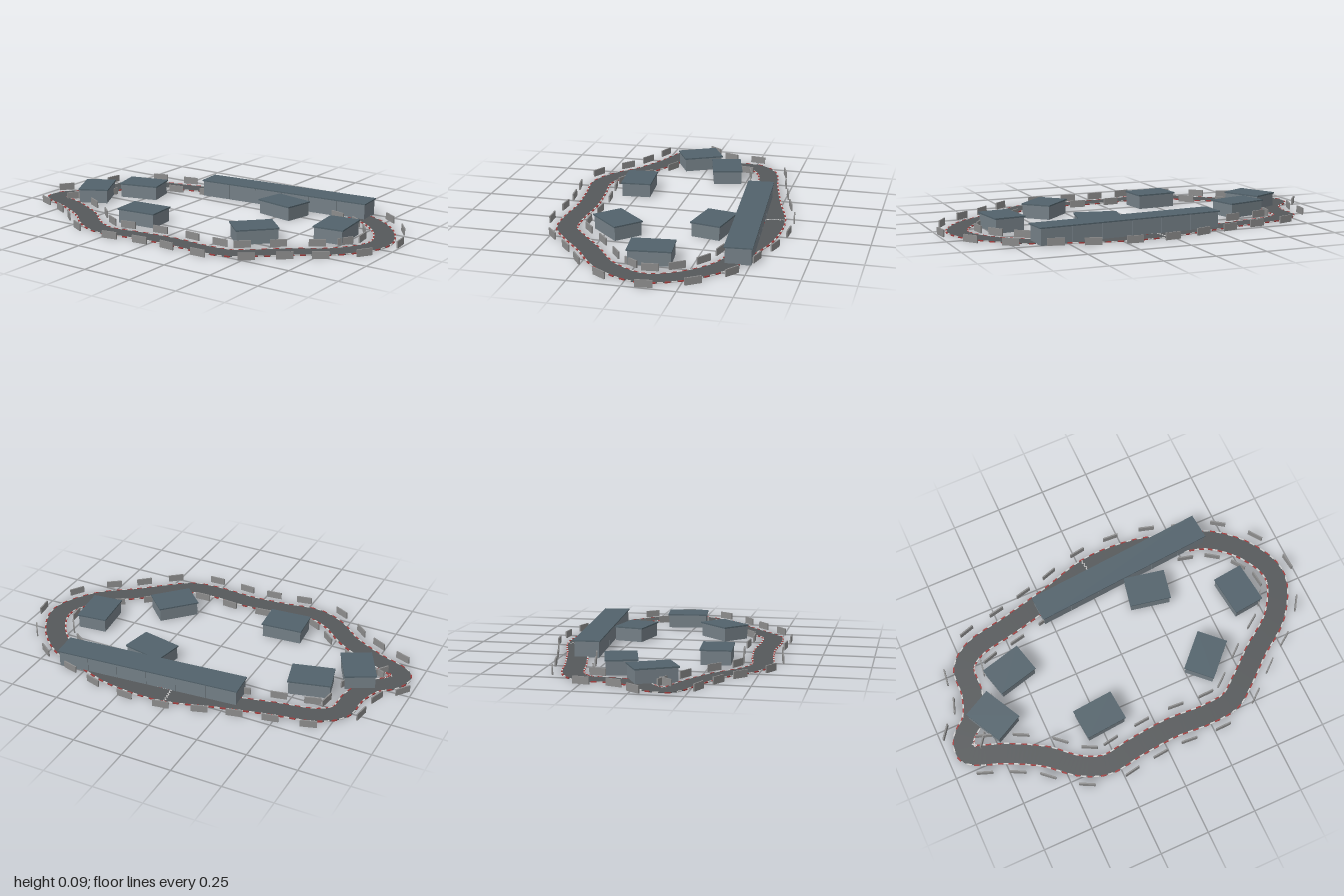
import * as THREE from 'three';

const mat = (color) => new THREE.MeshStandardMaterial({ color, flatShading: true });
const asphalt = mat(0x55585a), red = mat(0xa03a3a), white = mat(0xcccccc);
const wallMat = mat(0x747f86), roofMat = mat(0x52626b), barrierMat = mat(0x8c8c8c);

// Centre line of the circuit as x, z pairs, starting at the start line
const line = [
  [0.035, -0.505], [-0.2, -0.44], [-0.45, -0.38], [-0.67, -0.33], [-0.75, -0.26], [-0.765, -0.12],
  [-0.81, 0], [-0.89, 0.08], [-0.9, 0.155], [-0.72, 0.24], [-0.56, 0.33], [-0.43, 0.44],
  [-0.31, 0.49], [-0.13, 0.47], [0.06, 0.455], [0.25, 0.465], [0.39, 0.45], [0.49, 0.38],
  [0.62, 0.27], [0.8, 0.13], [0.895, -0.06], [0.835, -0.23], [0.68, -0.38], [0.5, -0.44],
  [0.35, -0.49], [0.2, -0.51],
];
const curve = new THREE.CatmullRomCurve3(line.map(([x, z]) => new THREE.Vector3(x, 0, z)), true);
curve.arcLengthDivisions = 600;

// Point beside the centre line (side > 0 is outside) and the heading there
function beside(u, offset) {
  const p = curve.getPointAt(u % 1), t = curve.getTangentAt(u % 1);
  return { x: p.x + t.z * offset, z: p.z - t.x * offset, turn: Math.atan2(-t.z, t.x) };
}

function box(parent, name, material, w, h, d, x, y, z, turn = 0) {
  const mesh = new THREE.Mesh(new THREE.BoxGeometry(w, h, d), material);
  mesh.name = name;
  mesh.position.set(x, y + h / 2, z);
  mesh.rotation.y = turn;
  parent.add(mesh);
  return mesh;
}

function group(parent, name) {
  const g = new THREE.Group();
  g.name = name;
  parent.add(g);
  return g;
}

// Thin closed slab swept along the centre line
function trackGeometry(half, height, steps) {
  const pos = [], index = [];
  const section = [[half, 0], [half, height], [-half, height], [-half, 0]];
  for (let i = 0; i < steps; i++) {
    for (const [offset, y] of section) {
      const p = beside(i / steps, offset);
      pos.push(p.x, y, p.z);
    }
    for (let k = 0; k < 4; k++) {
      const a = i * 4 + k, b = i * 4 + (k + 1) % 4;
      const n = ((i + 1) % steps) * 4;
      const c = n + k, d = n + (k + 1) % 4;
      index.push(a, b, c, b, d, c);
    }
  }
  const g = new THREE.BufferGeometry();
  g.setAttribute('position', new THREE.Float32BufferAttribute(pos, 3));
  g.setIndex(index);
  const flat = g.toNonIndexed();
  flat.computeVertexNormals();
  return flat;
}

// Small hall with an overhanging flat roof
function building(parent, x, z, turn) {
  const g = group(parent, 'building');
  box(g, 'buildingWalls', wallMat, 0.2, 0.067, 0.145, 0, 0, 0);
  box(g, 'buildingRoof', roofMat, 0.21, 0.007, 0.155, 0, 0.067, 0);
  g.position.set(x, 0, z);
  g.rotation.y = turn;
}

export function createModel() {
  const model = new THREE.Group();
  model.name = 'raceCircuit';

  const track = new THREE.Mesh(trackGeometry(0.051, 0.004, 220), asphalt);
  track.material.side = THREE.DoubleSide;
  track.name = 'track';
  model.add(track);

  // Kerbs alternate red and white on both edges
  const kerbs = group(model, 'kerbs');
  const kerbCount = 160;
  for (let i = 0; i < kerbCount; i++) {
    for (const side of [-1, 1]) {
      const p = beside(i / kerbCount, side * 0.051);
      box(kerbs, 'kerb', i % 2 ? white : red, 0.026, 0.005, 0.007, p.x, 0, p.z, p.turn);
    }
  }

  // Start line of small chequers
  const start = group(model, 'startLine');
  for (let i = 0; i < 10; i++) {
    const p = beside(0.0012 * (i % 2), -0.045 + i * 0.01);
    box(start, 'startLineTile', white, 0.006, 0.002, 0.009, p.x, 0.0035, p.z, p.turn);
  }

  // Barrier panels spaced along both sides
  const barriers = group(model, 'barriers');
  const barrierCount = 26;
  for (let i = 0; i < barrierCount; i++) {
    for (const side of [-1, 1]) {
      const p = beside(i / barrierCount, side * 0.094);
      box(barriers, 'barrier', barrierMat, 0.08, 0.035, 0.007, p.x, 0, p.z, p.turn);
    }
  }

  // Halls around the infield
  const halls = [
    [-0.55, -0.135, 0.25], [0.257, -0.247, -0.2], [0.674, -0.05, -1.46],
    [0.37, 0.2, 0.8], [-0.24, 0.264, 0.085], [-0.717, 0.05, -1.09],
  ];
  for (const [x, z, turn] of halls) building(model, x, z, turn);

  // Long pit building made of equal bays under one roof
  const pits = group(model, 'pitBuilding');
  const bays = 6, bay = 0.93 / bays;
  for (let i = 0; i < bays; i++) {
    box(pits, 'pitBay', wallMat, bay - 0.002, 0.079, 0.122, (i - (bays - 1) / 2) * bay, 0, 0);
  }
  box(pits, 'pitRoof', roofMat, 0.94, 0.006, 0.133, 0, 0.079, 0);
  pits.position.set(0.174, 0, -0.408);
  pits.rotation.y = 0.08;

  return model;
}
